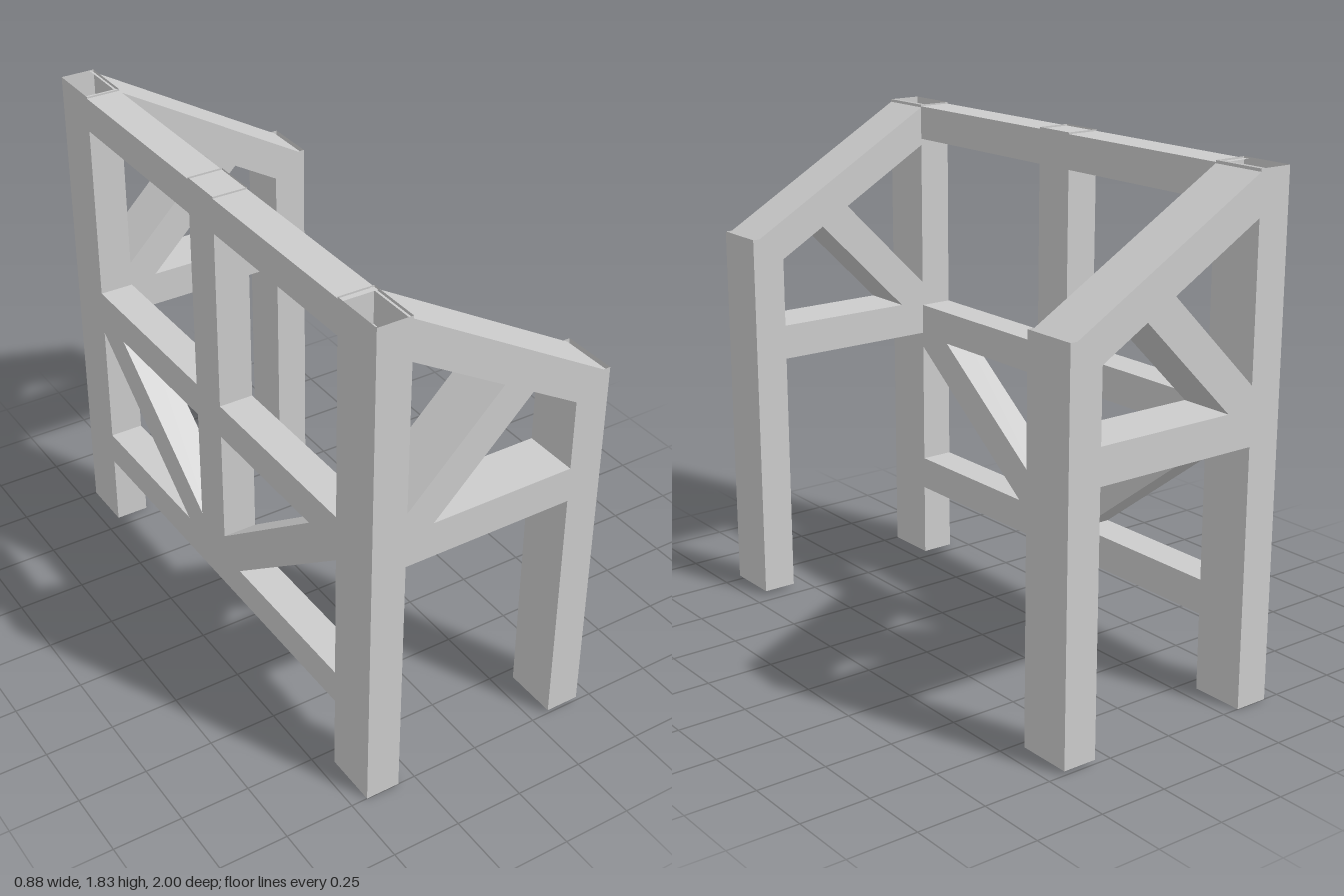
import * as THREE from 'three';

const T = 0.125; // tube thickness
const D = 0.2;   // depth of the side frames
const BACK = -0.3775;
const UP = new THREE.Vector3(0, 1, 0);
const material = new THREE.MeshStandardMaterial({ color: 0xcccccc, flatShading: true, side: THREE.DoubleSide });

// Open-ended rectangular tube running from a to b
function tube(name, a, b, sx, sz) {
  const start = new THREE.Vector3(...a), end = new THREE.Vector3(...b);
  const dir = end.clone().sub(start);
  const geo = new THREE.BoxGeometry(sx, dir.length(), sz);
  const index = Array.from(geo.index.array);
  index.splice(12, 12); // remove both end caps
  geo.setIndex(index);
  geo.clearGroups();
  const mesh = new THREE.Mesh(geo, material);
  mesh.name = name;
  mesh.position.copy(start).add(end).multiplyScalar(0.5);
  mesh.quaternion.setFromUnitVectors(UP, dir.normalize());
  return mesh;
}

// Side frame: tall post, short leg, sloping rafter, rail and brace
function sideFrame(name, z) {
  const frame = new THREE.Group();
  frame.name = name;
  frame.add(
    tube('tallPost', [BACK, 0, z], [BACK, 1.825, z], T, D),
    tube('shortLeg', [0.3775, 0.015, z], [0.3775, 1.395, z], T, D),
    tube('rafter', [-0.364, 1.771, z], [0.401, 1.33, z], T, D),
    tube('sideRail', [-0.4, 0.99, z], [0.4, 0.99, z], 0.128, D),
    tube('sideBrace', [-0.37, 0.9875, z], [0.12, 1.4775, z], T, D)
  );
  return frame;
}

export function createModel() {
  const model = new THREE.Group();
  model.name = 'frame';
  model.add(sideFrame('leftSideFrame', 0.9), sideFrame('rightSideFrame', -0.9));

  // Back frame: three long rails, centre post and two diagonals
  const back = new THREE.Group();
  back.name = 'backFrame';
  const rails = { topRail: 1.757, middleRail: 0.977, bottomRail: 0.34 };
  for (const [name, y] of Object.entries(rails)) {
    back.add(tube(name, [BACK, y, -0.82], [BACK, y, 0.82], T, 0.124));
  }
  back.add(tube('centrePost', [BACK, 0.3, 0], [BACK, 1.825, 0], T, 0.16));
  for (const s of [-1, 1]) {
    back.add(tube('backDiagonal', [BACK, 0.346, 0], [BACK, 0.997, s * 0.858], T, 0.131));
  }
  model.add(back);
  return model;
}
